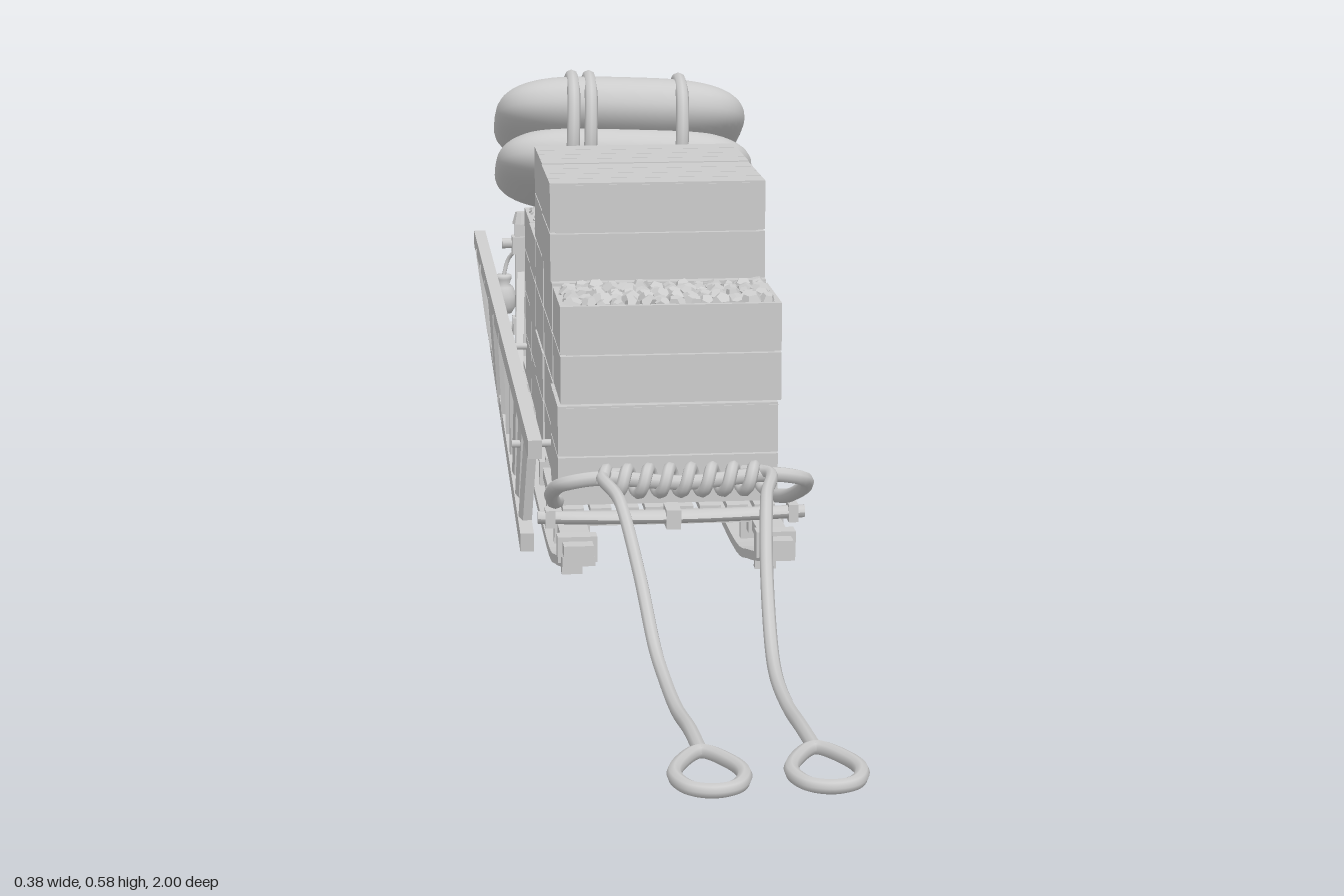
import * as THREE from 'three';

const V = (x, y, z) => new THREE.Vector3(x, y, z);
const MID = 0.012; // sled centre line
const smooth = new THREE.MeshStandardMaterial({ color: 0xcccccc });
const flat = new THREE.MeshStandardMaterial({ color: 0xcccccc, flatShading: true });

let seed = 7;
const rnd = () => (seed = (seed * 16807) % 2147483647) / 2147483647;

function add(parent, name, geo, mat = flat, pos = [0, 0, 0]) {
  const m = new THREE.Mesh(geo, mat);
  m.name = name;
  m.position.set(...pos);
  parent.add(m);
  return m;
}
const box = (p, name, w, h, d, x, y, z) => add(p, name, new THREE.BoxGeometry(w, h, d), flat, [x, y, z]);

// square or round bar between two points
function bar(p, name, a, b, w, h = w, round = false) {
  const len = a.distanceTo(b);
  const geo = round ? new THREE.CylinderGeometry(w, w, len, 10).rotateX(Math.PI / 2) : new THREE.BoxGeometry(w, h, len);
  const m = add(p, name, geo, round ? smooth : flat);
  m.position.copy(a).lerp(b, 0.5);
  m.lookAt(b);
  return m;
}
function rope(p, name, pts, r, closed = false, seg = 80) {
  const curve = new THREE.CatmullRomCurve3(pts.map(q => V(...q)), closed, 'centripetal');
  return add(p, name, new THREE.TubeGeometry(curve, seg, r, 8, closed), smooth);
}
function group(p, name) {
  const g = new THREE.Group();
  g.name = name;
  p.add(g);
  return g;
}

// curved band in the z-y plane, extruded across x
function band(pts, t, w) {
  const c = new THREE.SplineCurve(pts.map(q => new THREE.Vector2(...q))).getPoints(28);
  const s = new THREE.Shape([...c.map(q => new THREE.Vector2(q.x, q.y - t / 2)),
    ...c.reverse().map(q => new THREE.Vector2(q.x, q.y + t / 2))]);
  return new THREE.ExtrudeGeometry(s, { depth: w, bevelEnabled: false }).rotateY(-Math.PI / 2).translate(w / 2, 0, 0);
}

// wooden crate; open crates are filled with rocks
function crate(p, x, y, z, w, h, d, open) {
  const g = group(p, 'crate');
  g.position.set(x, y, z);
  const t = 0.008, bh = (h - 0.004) / 2;
  box(g, 'crateCore', w - 2 * t, h - 0.016, d - 2 * t, 0, h / 2 - 0.006, 0);
  for (const i of [0, 1]) {
    const by = bh / 2 + i * (bh + 0.0025);
    for (const s of [-1, 1]) {
      box(g, 'endBoard', w, bh, t, 0, by, s * (d - t) / 2);
      box(g, 'sideBoard', t, bh, d - 2 * t, s * (w - t) / 2, by, 0);
    }
  }
  if (!open) {
    const n = 4, pw = d / n;
    for (let i = 0; i < n; i++) box(g, 'lidPlank', w, 0.006, pw - 0.002, 0, h - 0.002, -d / 2 + pw * (i + 0.5));
    return;
  }
  for (let i = 0; i < 14; i++) for (let j = 0; j < 7; j++) {
    const r = 0.0105 + rnd() * 0.005;
    const m = add(g, 'rock', new THREE.DodecahedronGeometry(r), flat,
      [(i - 6.5) * (w - 0.034) / 13, h - 0.006 + rnd() * 0.004, (j - 3) * (d - 0.034) / 6]);
    m.rotation.set(rnd() * 6, rnd() * 6, rnd() * 6);
    m.scale.y = 0.75;
  }
}

// cushion-like solid: a sphere pushed towards a rounded box
function cushion(w, h, d) {
  const g = new THREE.SphereGeometry(1, 48, 32), a = g.attributes.position;
  const f = (v, e) => Math.sign(v) * Math.pow(Math.abs(v), e);
  for (let i = 0; i < a.count; i++) {
    const y = a.getY(i), q = Math.sqrt(Math.max(0, 1 - y * y)) || 1e-6, k = Math.pow(q, 0.65);
    a.setXYZ(i, f(a.getX(i) / q, 0.55) * k * w / 2, f(y, 0.9) * h / 2, f(a.getZ(i) / q, 0.55) * k * d / 2);
  }
  g.computeVertexNormals();
  return g;
}

export function createModel() {
  const root = new THREE.Group();
  root.name = 'cargoSled';
  const stations = [0.025, -0.12, -0.27, -0.42, -0.58, -0.73, -0.88];

  // runners, rails and stanchions
  const sled = group(root, 'sledFrame');
  for (const s of [-1, 1]) {
    const x = MID + s * 0.121;
    add(sled, 'runner', band([[0.15, 0.068], [0.02, 0.035], [-0.12, 0.009], [-0.42, 0.006], [-0.72, 0.009], [-0.87, 0.036], [-1, 0.072]], 0.012, 0.04), flat, [x, 0, 0]);
    add(sled, 'rail', band([[0.15, 0.08], [-0.1, 0.076], [-0.75, 0.076], [-0.99, 0.084]], 0.014, 0.036), flat, [x, 0, 0]);
    for (const z of stations) {
      box(sled, 'stanchion', 0.026, 0.075, 0.014, x, 0.056, z);
      box(sled, 'lashing', 0.044, 0.024, 0.02, x, 0.078, z);
    }
    for (const z of [0.115, -0.955]) box(sled, 'tipBinding', 0.048, 0.032, 0.022, x, 0.076, z);
  }
  for (const z of stations) box(sled, 'crossBeam', 0.27, 0.014, 0.022, MID, 0.088, z);
  for (let i = 0; i < 8; i++) box(sled, 'deckSlat', 0.026, 0.008, 0.93, MID + (i - 3.5) * 0.034, 0.099, -0.43);

  // bowed front bar with centre binding
  const bow = add(sled, 'frontBar', new THREE.CylinderGeometry(0.008, 0.008, 0.33, 10, 16).rotateZ(Math.PI / 2), smooth, [MID, 0.1, 0.06]);
  const bp = bow.geometry.attributes.position;
  for (let i = 0; i < bp.count; i++) {
    const u = 1 - Math.pow(bp.getX(i) / 0.165, 2);
    bp.setZ(i, bp.getZ(i) * (1 + u) + u * 0.01);
  }
  bow.geometry.computeVertexNormals();
  box(sled, 'barBinding', 0.018, 0.024, 0.04, MID, 0.1, 0.068);
  for (const s of [-1, 1]) box(sled, 'barEnd', 0.012, 0.022, 0.026, MID + s * 0.15, 0.1, 0.06);
  box(sled, 'centreStrut', 0.014, 0.012, 0.09, MID, 0.092, 0.02);

  // harness loop, coil and two tow ropes
  const tow = group(root, 'towRopes');
  const half = [[0.135, 0.105, 0.0], [0.145, 0.12, 0.06], [0.152, 0.16, 0.16], [0.14, 0.178, 0.2], [0.1, 0.187, 0.214]];
  rope(tow, 'harnessLoop', [...half.map(([x, y, z]) => [MID - x, y, z]), [MID, 0.18, 0.216],
    ...half.slice().reverse().map(([x, y, z]) => [MID + x, y, z])], 0.009);
  const coil = [];
  for (let i = 0; i <= 72; i++) {
    const a = i / 72 * Math.PI * 2 * 8;
    coil.push([MID - 0.1 + 0.2 * i / 72, 0.183 + 0.014 * Math.sin(a), 0.215 + 0.015 * Math.cos(a)]);
  }
  rope(tow, 'ropeCoil', coil, 0.0075, false, 240);
  for (const s of [-1, 1]) {
    const X = d => MID + s * d;
    rope(tow, 'towRope', [[X(0.07), 0.188, 0.2], [X(0.098), 0.192, 0.225], [X(0.085), 0.182, 0.3], [X(0.072), 0.125, 0.4], [X(0.064), 0.068, 0.5],
      [X(0.06), 0.054, 0.57], [X(0.058), 0.055, 0.67], [X(0.056), 0.07, 0.78], [X(0.056), 0.08, 0.88]], 0.0075);
    rope(tow, 'handLoop', [[X(0.056), 0.081, 0.875], [X(0.08), 0.082, 0.91], [X(0.089), 0.083, 0.95], [X(0.077), 0.083, 0.983],
      [X(0.056), 0.083, 0.992], [X(0.035), 0.083, 0.983], [X(0.023), 0.083, 0.95], [X(0.032), 0.082, 0.91]], 0.0075, true);
  }

  // cargo: stacks given as front z, back z, crate count, open top
  const cargo = group(root, 'cargo');
  const stacks = [[0.02, -0.115, 2, true], [-0.122, -0.29, 3, false], [-0.297, -0.463, 3, false],
    [-0.47, -0.606, 2, true], [-0.613, -0.748, 2, true], [-0.758, -0.876, 1, false]];
  stacks.forEach(([a, b, n, open], k) => {
    for (let i = 0; i < n; i++)
      crate(cargo, 0.014 + (k === 5 ? -0.006 : (rnd() - 0.5) * 0.004), 0.104 + i * 0.128, (a + b) / 2, k === 5 ? 0.235 : 0.274, 0.124, a - b, open && i === n - 1);
  });

  // folded bedroll with straps, tilted back
  const roll = group(root, 'bedroll');
  roll.position.set(0.008, 0.461, -0.6);
  roll.rotation.set(-0.4, 0, -0.04);
  add(roll, 'lowerFold', cushion(0.36, 0.095, 0.25), smooth, [0.002, -0.033, 0]);
  add(roll, 'upperFold', cushion(0.352, 0.1, 0.265), smooth, [-0.004, 0.036, 0]);
  for (const x of [-0.076, -0.052, 0.074])
    rope(roll, 'strap', [[x, 0.088, 0], [x, 0.079, 0.085], [x, 0.036, 0.136], [x, -0.033, 0.13], [x, -0.078, 0.08],
      [x, -0.083, 0], [x, -0.078, -0.08], [x, -0.033, -0.13], [x, 0.036, -0.136], [x, 0.079, -0.085]], 0.009, true);

  // rear handle frame with cross braces
  const rear = group(root, 'rearFrame');
  const zr = -0.89, xr = 0.132;
  for (const s of [-1, 1]) {
    const x = MID + s * xr;
    box(rear, 'post', 0.018, 0.27, 0.018, x, 0.175, zr);
    for (const y of [0.15, 0.275]) box(rear, 'postLashing', 0.027, 0.026, 0.028, x, y, zr);
    add(rear, 'postCap', new THREE.CylinderGeometry(0.008, 0.013, 0.018, 8), flat, [x, 0.316, zr]);
    bar(rear, 'crossBrace', V(MID - s * xr, 0.14, zr - 0.006 * s), V(x, 0.27, zr - 0.006 * s), 0.011);
    bar(rear, 'sideBrace', V(x, 0.235, zr), V(x + s * 0.012, 0.09, -0.74), 0.011);
  }
  for (const y of [0.145, 0.275]) bar(rear, 'crossBar', V(MID - 0.16, y, zr - 0.012), V(MID + 0.16, y, zr - 0.012), 0.008, 0.008, true);

  // hanging pots
  const potShape = [[0, 0], [0.012, 0.001], [0.019, 0.012], [0.02, 0.028], [0.014, 0.042], [0.009, 0.046], [0.012, 0.054], [0.012, 0.06], [0, 0.061]];
  const potGeo = new THREE.LatheGeometry(potShape.map(q => new THREE.Vector2(...q)), 16);
  for (const [x, y, z] of [[0.168, 0.168, -0.905], [0.168, 0.176, -0.866], [-0.146, 0.165, -0.908]]) {
    add(rear, 'pot', potGeo, smooth, [x, y, z]);
    const side = Math.sign(x);
    rope(rear, 'potCord', [[x, y + 0.058, z], [x - side * 0.008, 0.25, z], [MID + side * xr, 0.272, zr]], 0.003, false, 12);
  }

  // ladder lashed along the right side
  const ladder = group(root, 'ladder');
  const top = [V(-0.154, 0.178, 0.03), V(-0.18, 0.275, -0.95)];
  const low = [V(-0.163, 0.052, 0.0), V(-0.162, 0.145, -0.94)];
  for (const [a, b] of [top, low]) bar(ladder, 'ladderRail', a, b, 0.017, 0.024);
  for (let i = 0; i < 11; i++) {
    const t = 0.06 + i * 0.088;
    bar(ladder, 'rung', top[0].clone().lerp(top[1], t), low[0].clone().lerp(low[1], t), 0.012, 0.018);
  }
  for (const z of [-0.12, -0.73]) bar(ladder, 'ladderTie', V(-0.175, 0.15, z), V(-0.11, 0.15, z), 0.005, 0.005, true);

  // mallet and long pole stowed on the left side
  const tools = group(root, 'stowedTools');
  bar(tools, 'malletHandle', V(0.16, 0.025, -0.58), V(0.16, 0.21, -0.88), 0.007, 0.007, true);
  bar(tools, 'malletHead', V(0.16, 0.022, -0.575), V(0.16, 0.04, -0.615), 0.012, 0.012, true);
  bar(tools, 'pole', V(0.157, 0.04, 0.03), V(0.157, 0.09, -0.43), 0.006, 0.006, true);
  return root;
}
